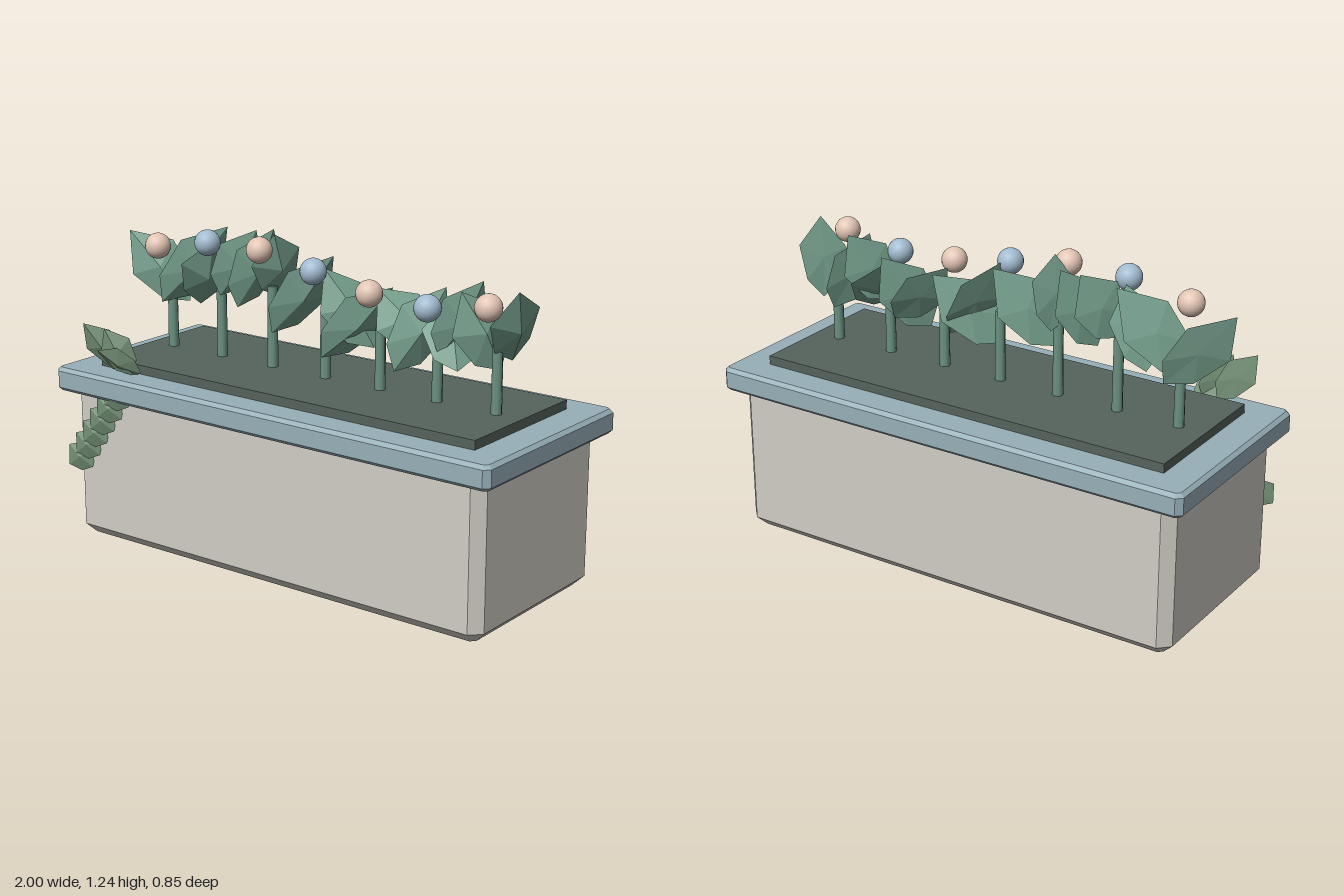
import * as THREE from 'three';

const mat = (color, opts = {}) => new THREE.MeshStandardMaterial({ color, ...opts });
const CREAM = mat(0xd0cdc5), BLUE = mat(0x98b0b9), SOIL = mat(0x56635c), STEM = mat(0x6b9282);
const LEAF = mat(0x76a08e, { flatShading: true, side: THREE.DoubleSide });
const VINE = mat(0x738f76, { flatShading: true, side: THREE.DoubleSide });
const PEACH = mat(0xe2c5b4), SKY = mat(0xa2bbd0);

// box with cut vertical corners and bevelled top and bottom edges
function chamferBox(hx, hz, y0, y1, cut, bevel) {
  const shape = new THREE.Shape([
    [hx - cut, -hz], [hx, cut - hz], [hx, hz - cut], [hx - cut, hz],
    [cut - hx, hz], [-hx, hz - cut], [-hx, cut - hz], [cut - hx, -hz],
  ].map(([x, y]) => new THREE.Vector2(x, y)));
  const geo = new THREE.ExtrudeGeometry(shape, {
    depth: y1 - y0 - 2 * bevel, bevelEnabled: true, bevelSegments: 1,
    bevelThickness: bevel, bevelSize: bevel, bevelOffset: -bevel,
  });
  return geo.rotateX(-Math.PI / 2).translate(0, y0 + bevel, 0);
}

// faceted pointed leaf from base to tip; roll (degrees) turns it about its axis, 0 facing the front
function leafGeometry(base, tip, roll, width, bulge) {
  const a = new THREE.Vector3(...base);
  const axis = new THREE.Vector3(...tip).sub(a);
  const dir = axis.clone().normalize();
  const flat = new THREE.Vector3(0, 0, 1).cross(dir).normalize();
  const side = flat.applyAxisAngle(dir, THREE.MathUtils.degToRad(roll));
  const normal = dir.clone().cross(side);
  const at = (u, v, w) => a.clone().addScaledVector(axis, u)
    .addScaledVector(side, v * width).addScaledVector(normal, w * bulge);
  const rim = [[0, 0, 0], [0.2, -0.36, -0.3], [0.62, -0.5, -0.3], [1, 0, 0], [0.62, 0.5, -0.3], [0.2, 0.36, -0.3]]
    .map((p) => at(...p));
  const front = at(0.48, 0, 1), back = at(0.48, 0, -0.5);
  const pts = [];
  rim.forEach((p, i) => {
    const q = rim[(i + 1) % rim.length];
    pts.push(front, q, p, back, p, q);
  });
  const geo = new THREE.BufferGeometry().setFromPoints(pts);
  geo.computeVertexNormals();
  return geo;
}

export function createModel() {
  const model = new THREE.Group();
  const add = (name, geo, material, parent = model) => {
    const mesh = new THREE.Mesh(geo, material);
    mesh.name = name;
    parent.add(mesh);
    return mesh;
  };
  const group = (name) => {
    const g = new THREE.Group();
    g.name = name;
    model.add(g);
    return g;
  };

  // trough, rim and soil
  add('trough', chamferBox(0.945, 0.38, 0, 0.64, 0.042, 0.042), CREAM);
  add('rim', chamferBox(1, 0.425, 0.587, 0.68, 0.022, 0.014), BLUE);
  add('soil', new THREE.BoxGeometry(1.73, 0.05, 0.6).translate(0, 0.69, 0), SOIL);

  // row of stems, each with a round bloom in front
  const stems = group('stems'), blooms = group('blooms');
  const stemTops = [0.96, 1.03, 1.03, 0.99, 0.95, 0.93, 0.97];
  const bloomHeights = [1.14, 1.185, 1.19, 1.145, 1.1, 1.085, 1.125];
  stemTops.forEach((top, i) => {
    const x = (i - 3) * 0.2523;
    add('stem', new THREE.CylinderGeometry(0.019, 0.021, top - 0.7, 8), STEM, stems)
      .position.set(x, (top + 0.7) / 2, 0);
    add('bloom', new THREE.SphereGeometry(0.05, 20, 14), i % 2 ? SKY : PEACH, blooms)
      .position.set(x + 0.028, bloomHeights[i], 0.11);
  });

  // upright leaves: base, tip, roll
  const leaves = group('leaves');
  [
    [[-0.72, 0.89, -0.06], [-0.95, 1.16, 0.03], 35],
    [[-0.77, 0.9, 0.05], [-0.53, 1.21, -0.07], 45],
    [[-0.63, 0.9, -0.02], [-0.5, 1.18, 0.05], 60],
    [[-0.47, 0.97, 0.05], [-0.37, 1.22, -0.05], 60],
    [[-0.4, 0.93, 0.03], [-0.3, 1.23, -0.07], 65],
    [[-0.25, 0.98, -0.05], [-0.21, 1.24, 0.04], 70],
    [[-0.2, 0.87, 0.07], [0, 1.17, -0.05], 55],
    [[0.21, 0.86, -0.02], [0.04, 1.15, 0.06], 60],
    [[0.05, 0.82, 0.09], [0.27, 1.09, -0.05], 50],
    [[0.45, 0.88, -0.05], [0.25, 1.1, 0.02], 50],
    [[0.37, 0.82, 0.08], [0.49, 1.12, -0.07], 45],
    [[0.63, 0.86, 0.06], [0.5, 1.08, -0.06], 50],
    [[0.55, 0.9, 0.06], [0.66, 1.17, -0.05], 60],
    [[0.74, 0.86, -0.05], [0.64, 1.15, 0.06], 60],
    [[0.78, 0.9, -0.06], [0.87, 1.18, 0.05], 72],
  ].forEach(([base, tip, roll]) => add('leaf', leafGeometry(base, tip, roll, 0.21, 0.035), LEAF, leaves));

  // vine: a tuft standing on the rim, then leaves trailing down the trough's front corner
  const vine = group('trailingVine');
  [
    [[-0.74, 0.7, 0.32], [-0.86, 0.87, 0.4], 15],
    [[-0.68, 0.68, 0.33], [-0.77, 0.86, 0.38], 25],
    [[-0.64, 0.69, 0.32], [-0.8, 0.77, 0.39], -20],
  ].forEach(([base, tip, roll]) => add('vineLeaf', leafGeometry(base, tip, roll, 0.13, 0.02), VINE, vine));
  for (let i = 0; i < 6; i++) {
    const t = i / 5;
    const x = THREE.MathUtils.lerp(-0.65, -0.85, t), y = THREE.MathUtils.lerp(0.57, 0.29, t);
    add('vineLeaf', leafGeometry([x, y, 0.385], [x - 0.1, y + 0.08, 0.41], 15, 0.13, 0.018), VINE, vine);
  }
  return model;
}
